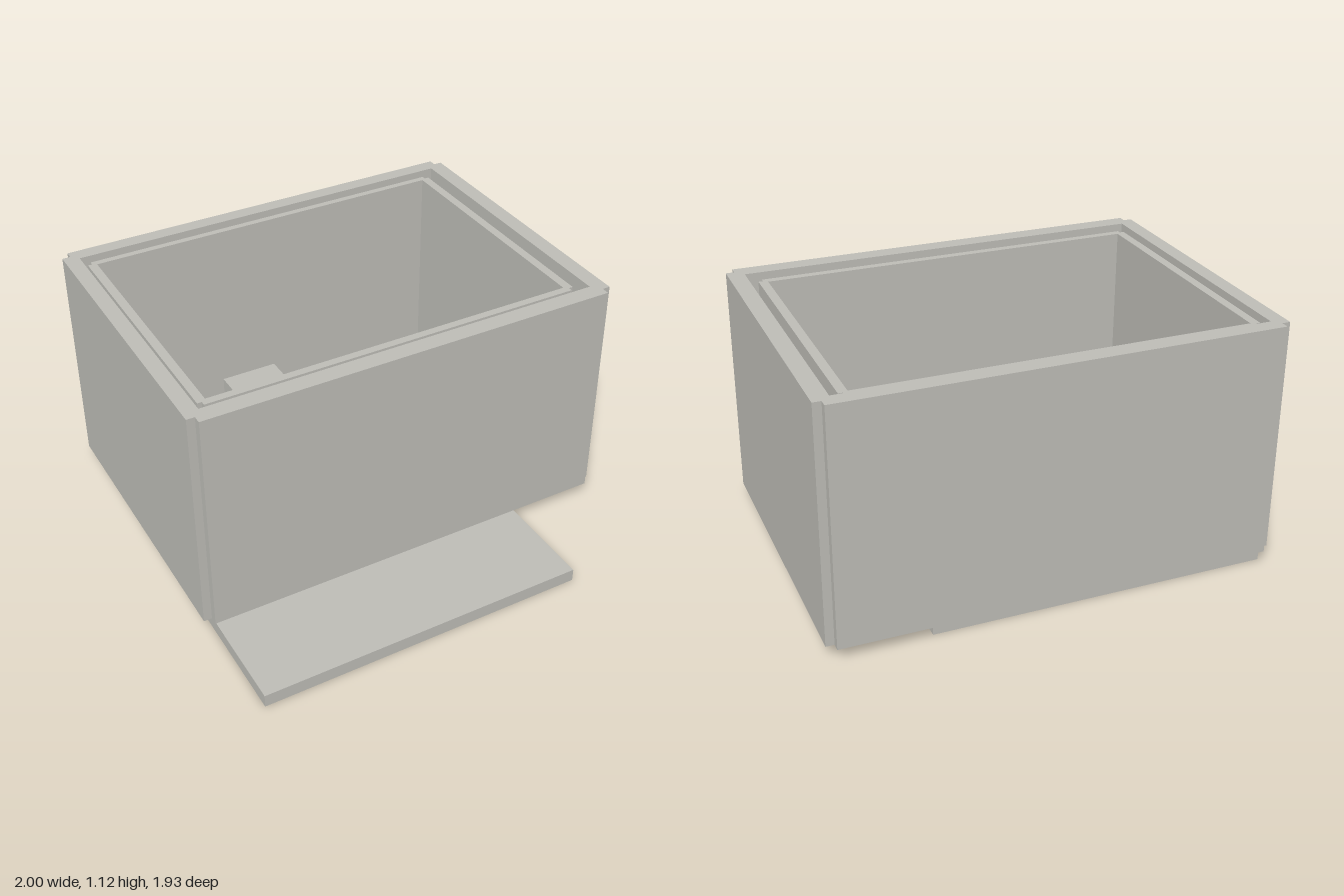
import * as THREE from 'three';

// Closed wall ring with square notches cut out of its outer corners
function wallRing(o, hole, notch, y0, y1) {
  const [x0, x1, z0, z1] = o;
  const n = notch;
  const outline = [
    [x0 + n, z0], [x1 - n, z0], [x1 - n, z0 + n], [x1, z0 + n],
    [x1, z1 - n], [x1 - n, z1 - n], [x1 - n, z1], [x0 + n, z1],
    [x0 + n, z1 - n], [x0, z1 - n], [x0, z0 + n], [x0 + n, z0 + n],
  ];
  const [a, b, c, d] = hole;
  const toShape = (pts) => pts.map(([x, z]) => new THREE.Vector2(x, -z));
  const shape = new THREE.Shape(toShape(outline));
  shape.holes.push(new THREE.Path(toShape([[a, c], [a, d], [b, d], [b, c]])));
  const geo = new THREE.ExtrudeGeometry(shape, { depth: y1 - y0, bevelEnabled: false });
  return geo.rotateX(-Math.PI / 2).translate(0, y0, 0);
}

// Box given by its limits on each axis
function block(x0, x1, z0, z1, y0, y1) {
  return new THREE.BoxGeometry(x1 - x0, y1 - y0, z1 - z0)
    .translate((x0 + x1) / 2, (y0 + y1) / 2, (z0 + z1) / 2);
}

export function createModel() {
  const group = new THREE.Group();
  const grey = new THREE.MeshStandardMaterial({ color: 0xbdbcb6 });
  grey.name = 'warm grey';
  const add = (name, geometry) => {
    const mesh = new THREE.Mesh(geometry, grey);
    mesh.name = name;
    group.add(mesh);
  };

  const floorTop = 0.06;

  // Floor slab, running out past the front wall
  add('floorSlab', block(-0.96, 0.555, -0.93, 0.965, 0, floorTop));

  // Double walls with a narrow cavity between them
  add('outerWalls', wallRing([-1, 1, -0.965, 0.5], [-0.93, 0.925, -0.895, 0.42], 0.037, floorTop, 1.12));
  add('innerWalls', wallRing([-0.91, 0.88, -0.87, 0.38], [-0.87, 0.84, -0.84, 0.345], 0.02, floorTop, 1.1));

  // Low blocks standing inside the room
  const blocks = {
    leftBlock: [-0.83, -0.5, -0.46, 0.34, 0.25],
    backBlock: [-0.31, -0.03, -0.81, -0.52, 0.3],
    middleBlock: [-0.26, -0.04, -0.27, 0.15, 0.22],
    rightBlock: [0.32, 0.48, -0.4, 0.28, 0.25],
  };
  for (const [name, [x0, x1, z0, z1, top]] of Object.entries(blocks)) {
    add(name, block(x0, x1, z0, z1, floorTop, top));
  }

  return group;
}
